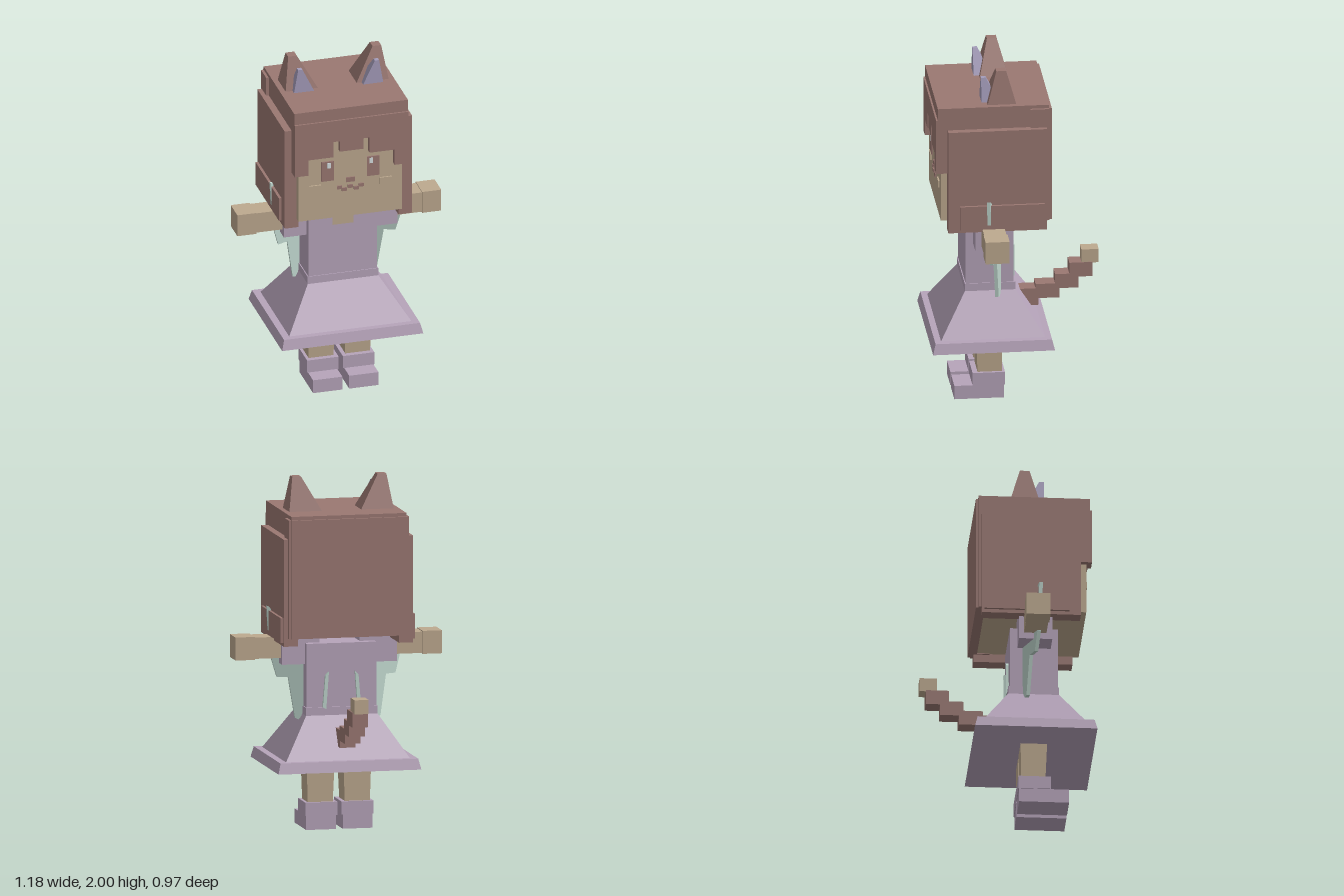
import * as THREE from 'three';

const paint = (name, color) => {
  const m = new THREE.MeshStandardMaterial({ color });
  m.name = name;
  return m;
};

export function createModel() {
  const brown = paint('brown hair', 0x9a7872);
  const skin = paint('skin', 0xbda98f);
  const lilac = paint('lilac cloth', 0xb6a4ba);
  const mint = paint('mint wings', 0xbdd4cb);
  const innerEarMat = paint('inner ear', 0xa49cba);
  const shine = paint('eye shine', 0xd8e0e2);

  const model = new THREE.Group();
  model.name = 'catGirl';

  const add = (name, mat, geo) => {
    const mesh = new THREE.Mesh(geo, mat);
    mesh.name = name;
    model.add(mesh);
    return mesh;
  };

  // Tapered block: bottom and top rectangles given as [x0, x1, z0, z1]
  const taper = (name, mat, y0, bottom, y1, top) => {
    const geo = new THREE.BoxGeometry(1, 1, 1);
    const p = geo.attributes.position;
    for (let i = 0; i < p.count; i++) {
      const up = p.getY(i) > 0;
      const r = up ? top : bottom;
      const xs = [Math.min(r[0], r[1]), Math.max(r[0], r[1])];
      p.setXYZ(i, xs[p.getX(i) > 0 ? 1 : 0], up ? y1 : y0, r[p.getZ(i) > 0 ? 3 : 2]);
    }
    geo.computeVertexNormals();
    return add(name, mat, geo);
  };
  const block = (name, mat, x0, x1, y0, y1, z0, z1) =>
    taper(name, mat, y0, [x0, x1, z0, z1], y1, [x0, x1, z0, z1]);

  const plate = (name, mat, points, z0, depth) => {
    const shape = new THREE.Shape(points.map(([x, y]) => new THREE.Vector2(x, y)));
    const geo = new THREE.ExtrudeGeometry(shape, { depth, bevelEnabled: false });
    geo.translate(0, 0, z0);
    return add(name, mat, geo);
  };

  // Dress
  taper('skirtRim', lilac, 0.36, [-0.41, 0.41, -0.2, 0.485], 0.42, [-0.395, 0.395, -0.185, 0.47]);
  taper('skirt', lilac, 0.42, [-0.355, 0.355, -0.15, 0.435], 0.655, [-0.205, 0.205, 0, 0.285]);
  block('waistband', lilac, -0.205, 0.205, 0.655, 0.7, 0, 0.285);
  block('bodice', lilac, -0.2, 0.2, 0.7, 1.06, 0.01, 0.28);
  block('neckline', skin, -0.06, 0.06, 1.005, 1.065, 0.2, 0.286);

  // Head and hair
  block('head', skin, -0.3, 0.3, 1.125, 1.65, -0.15, 0.43);
  block('hairCap', brown, -0.33, 0.33, 1.62, 1.81, -0.175, 0.45);
  block('hairBack', brown, -0.33, 0.33, 1.12, 1.79, -0.19, -0.14);
  const half = [[0.33, 1.74], [0.33, 1.42], [0.25, 1.42], [0.25, 1.515], [0.105, 1.515],
    [0.105, 1.61], [0.068, 1.61], [0.068, 1.545]];
  plate('fringe', brown, [...half, ...half.map(([x, y]) => [-x, y]).reverse()], 0.39, 0.07);

  // Face details
  block('nose', brown, -0.025, 0.025, 1.338, 1.366, 0.43, 0.438);
  [-0.063, -0.035, 0, 0.035, 0.063].forEach((x, i) => {
    const y = i % 2 ? 1.285 : 1.3;
    block('mouth', brown, x - 0.014, x + 0.014, y, y + 0.02, 0.43, 0.438);
  });
  for (const x of [-0.125, 0.12]) {
    block('eyeShine', shine, x - 0.011, x + 0.011, 1.44, 1.472, 0.438, 0.442);
  }

  for (const s of [1, -1]) {
    const side = s > 0 ? 'left' : 'right';
    const pair = (name, mat, x0, x1, ...rest) => block(side + name, mat, s * x0, s * x1, ...rest);

    pair('Eye', brown, 0.097, 0.168, 1.36, 1.48, 0.43, 0.439);
    pair('Cheek', skin, 0.17, 0.24, 1.302, 1.34, 0.43, 0.439);

    // Side hair layers
    pair('HairSide', brown, 0.29, 0.37, 1.075, 1.68, -0.16, 0.395);
    pair('HairUpperSide', brown, 0.28, 0.33, 1.42, 1.74, -0.16, 0.45);
    pair('HairBackCorner', brown, 0.28, 0.345, 1.12, 1.79, -0.175, -0.07);
    pair('HairLowerBand', brown, 0.36, 0.385, 1.095, 1.235, -0.145, 0.33);

    // Ears
    taper(side + 'Ear', brown, 1.805, [s * 0.3, s * 0.11, 0.005, 0.168],
      2, [s * 0.27, s * 0.22, 0.06, 0.115]);
    taper(side + 'InnerEar', innerEarMat, 1.805, [s * 0.26, s * 0.14, 0.1, 0.197],
      1.95, [s * 0.235, s * 0.21, 0.17, 0.197]);

    // Sleeves and arms
    pair('Sleeve', lilac, 0.115, 0.33, 0.94, 1.125, 0.052, 0.238);
    pair('Forearm', skin, 0.32, 0.485, 0.975, 1.095, 0.08, 0.205);
    pair('Hand', skin, 0.482, 0.592, 0.97, 1.1, 0.075, 0.21);

    // Legs and boots
    taper(side + 'Leg', skin, 0.14, [s * 0.035, s * 0.178, 0.075, 0.21],
      0.38, [s * 0.025, s * 0.185, 0.07, 0.22]);
    pair('BootCuff', lilac, 0.012, 0.195, 0.08, 0.155, 0.058, 0.24);
    pair('BootFoot', lilac, 0.02, 0.19, 0, 0.08, 0.062, 0.342);

    // Wing: ragged plate swept forward as it spreads
    const wing = [[0.1, 0.75], [0.2, 0.68], [0.22, 0.62], [0.245, 0.63], [0.28, 0.86], [0.34, 0.86],
      [0.37, 0.97], [0.384, 1.1], [0.392, 1.26], [0.375, 1.25], [0.3, 1.08], [0.1, 0.95]];
    const mesh = plate(side + 'Wing', mint, wing.map(([x, y]) => [s * x, y]), -0.01, 0.02);
    const p = mesh.geometry.attributes.position;
    for (let i = 0; i < p.count; i++) {
      p.setZ(i, p.getZ(i) + 0.09 + (Math.abs(p.getX(i)) - 0.2) * 0.42);
    }
    mesh.geometry.computeVertexNormals();

    // Wing tips showing through the back of the bodice
    plate(side + 'WingTip', mint, [[0.075, 0.9], [0.095, 0.88], [0.11, 0.7], [0.09, 0.69]]
      .map(([x, y]) => [s * x, y]), -0.005, 0.02);
  }

  // Tail: stepped blocks rising backwards, [z0, z1, y0, y1]
  [[-0.145, 0, 0.49, 0.59], [-0.265, -0.13, 0.53, 0.615], [-0.37, -0.24, 0.585, 0.67],
    [-0.45, -0.32, 0.65, 0.735]].forEach(([z0, z1, y0, y1]) =>
    block('tailSegment', brown, -0.045, 0.045, y0, y1, z0, z1));
  block('tailTip', skin, -0.04, 0.04, 0.73, 0.81, -0.485, -0.388);

  return model;
}
